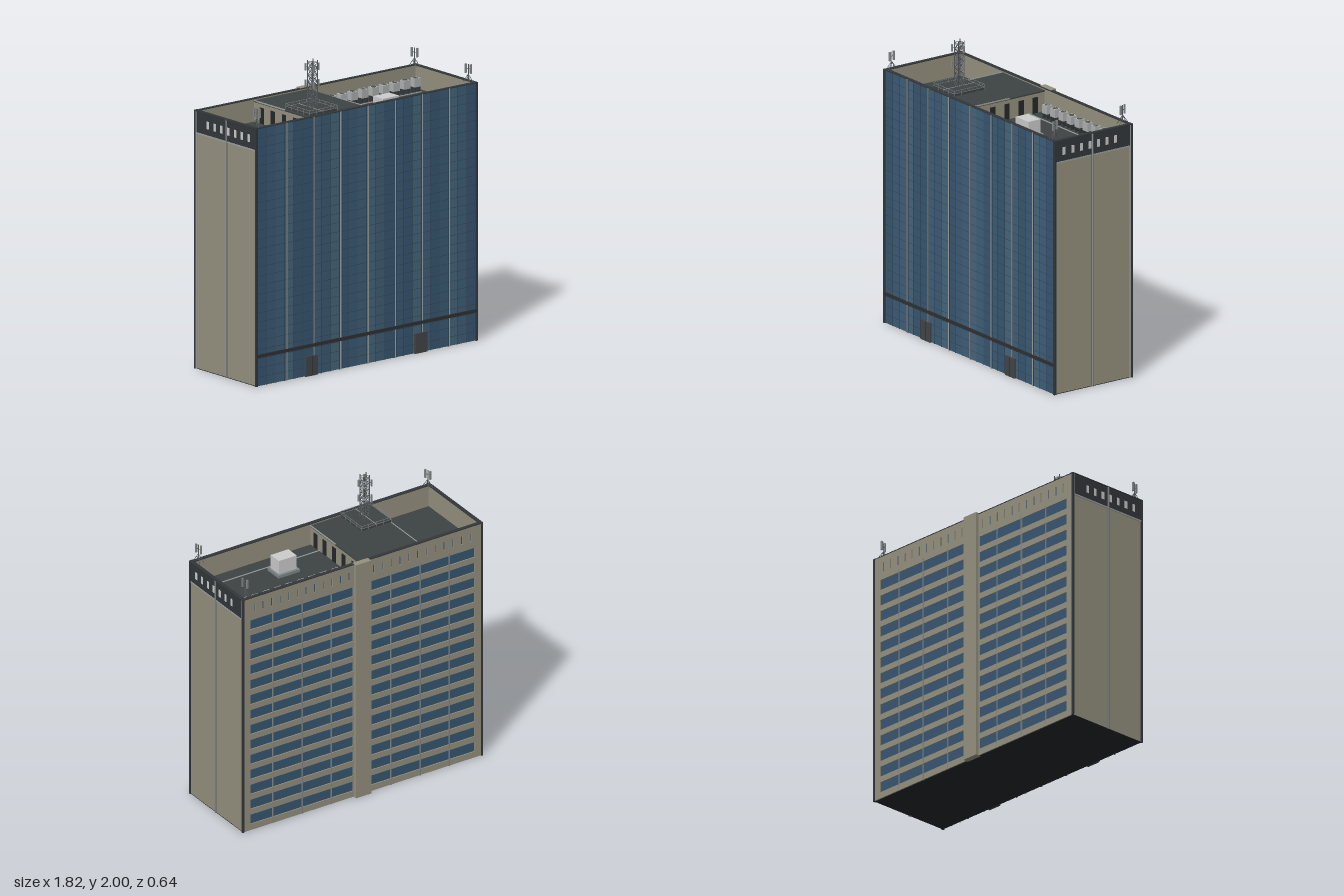
import * as THREE from 'three';

const mats = {};
const mat = (c) => (mats[c] ??= new THREE.MeshStandardMaterial({ color: c }));
const WALL = 0x95917f, DARK = 0x33373a, ROOF = 0x3d4244, STEEL = 0x9a9fa0, LIGHT = 0xbcc0bc, GLASS = 0x375671, LINE = 0x2c4152;

// Box given by its limits on each axis
function box(parent, name, color, x0, x1, y0, y1, z0, z1) {
  const m = new THREE.Mesh(new THREE.BoxGeometry(x1 - x0, y1 - y0, z1 - z0), mat(color));
  m.position.set((x0 + x1) / 2, (y0 + y1) / 2, (z0 + z1) / 2);
  m.name = name;
  parent.add(m);
  return m;
}

// Round bar between two points
function bar(parent, name, color, a, b, r = 0.002) {
  const p = new THREE.Vector3(...a), q = new THREE.Vector3(...b);
  const m = new THREE.Mesh(new THREE.CylinderGeometry(r, r, p.distanceTo(q), 6), mat(color));
  m.position.copy(p).add(q).multiplyScalar(0.5);
  m.quaternion.setFromUnitVectors(new THREE.Vector3(0, 1, 0), q.sub(p).normalize());
  m.name = name;
  parent.add(m);
}

function group(parent, name, x = 0, y = 0, z = 0) {
  const g = new THREE.Group();
  g.name = name;
  g.position.set(x, y, z);
  parent.add(g);
  return g;
}

function rectPath(P, x0, x1, y0, y1) {
  const p = new P();
  p.moveTo(x0, y0).lineTo(x1, y0).lineTo(x1, y1).lineTo(x0, y1).closePath();
  return p;
}

const TOP = 1.68, DECK = 1.53, MULLIONS = [-0.655, -0.435, -0.215, 0.01, 0.235, 0.455, 0.675];

function buildShell(root) {
  const g = group(root, 'shell');
  box(g, 'core', ROOF, -0.895, 0.895, 0.002, DECK, -0.28, 0.295);
  box(g, 'underside', 0x24262a, -0.9, 0.9, 0, 0.004, -0.29, 0.302);
  for (const s of [-1, 1]) {
    const lo = (a, b) => [Math.min(s * a, s * b), Math.max(s * a, s * b)];
    box(g, 'sideWall', WALL, ...lo(0.885, 0.9), 0.004, TOP - 0.004, -0.285, 0.3);
    box(g, 'sideBand', DARK, ...lo(0.89, 0.903), 1.54, TOP - 0.002, -0.28, 0.302);
    box(g, 'sideLedge', STEEL, ...lo(0.89, 0.905), 1.53, 1.54, -0.28, 0.302);
    for (let i = 0; i < 7; i++) {
      const z = 0.235 - i * 0.067;
      box(g, 'sideWindow', LIGHT, ...lo(0.9, 0.905), 1.58, 1.63, z - 0.011, z + 0.011);
    }
    box(g, 'sideJoint', 0x6a6c6c, ...lo(0.89, 0.906), 0, TOP, 0.009, 0.021);
    bar(g, 'sidePipe', STEEL, [s * 0.906, 0, 0.015], [s * 0.906, TOP, 0.015], 0.003);
    box(g, 'frontCornerPost', DARK, ...lo(0.893, 0.908), 0, TOP, 0.3, 0.314);
    box(g, 'backCornerPost', DARK, ...lo(0.893, 0.908), 0, TOP, -0.3, -0.287);
    box(g, 'cornerTrim', STEEL, ...lo(0.9, 0.906), 0, TOP, -0.285, -0.279);
    box(g, 'sideCoping', DARK, ...lo(0.883, 0.908), TOP - 0.004, TOP + 0.002, -0.3, 0.314);
  }
  box(g, 'frontParapet', WALL, -0.885, 0.885, DECK, TOP - 0.004, 0.288, 0.301);
  box(g, 'backParapet', WALL, -0.885, 0.885, DECK, TOP - 0.004, -0.288, -0.276);
  box(g, 'frontCoping', DARK, -0.885, 0.885, TOP - 0.004, TOP + 0.001, 0.286, 0.312);
  box(g, 'backCoping', DARK, -0.885, 0.885, TOP - 0.004, TOP + 0.001, -0.299, -0.274);
}

function buildFront(root) {
  const g = group(root, 'frontCurtainWall');
  // Glass strips in alternating blues, three to a bay
  const shades = [0x3f5f78, GLASS, 0x46667c, 0x3b5b76];
  const order = [1, 3, 0, 2, 1, 1, 0, 3, 2, 1, 3, 0, 2, 0, 1, 3, 1, 2, 0, 1, 3, 2, 0, 1];
  const w = 1.79 / 24;
  order.forEach((k, i) => {
    const x = -0.895 + i * w;
    box(g, 'glassStrip', shades[k], x, x + w, 0.002, TOP - 0.004, 0.3, 0.308);
    if (i) box(g, 'thinMullion', LINE, x - 0.001, x + 0.001, 0, TOP - 0.004, 0.305, 0.3095);
  });
  for (let i = 1; i < 28; i++) {
    box(g, 'floorLine', LINE, -0.895, 0.895, i * 0.0598 - 0.001, i * 0.0598 + 0.001, 0.305, 0.309);
  }
  for (const x of MULLIONS) {
    box(g, 'mullionBacking', LINE, x - 0.006, x + 0.006, 0, TOP - 0.003, 0.305, 0.311);
    box(g, 'mullion', STEEL, x - 0.003, x + 0.003, 0, TOP, 0.305, 0.314);
  }
  box(g, 'canopyBand', 0x2f3033, -0.905, 0.905, 0.186, 0.207, 0.3, 0.317);
  for (const x of [-0.455, 0.44]) {
    box(g, 'entranceDoor', 0x434547, x - 0.05, x + 0.05, 0, 0.13, 0.3, 0.319);
    box(g, 'doorSplit', 0x25272a, x - 0.001, x + 0.001, 0, 0.128, 0.31, 0.32);
  }
}

function buildBack(root) {
  const g = group(root, 'backFacade');
  box(g, 'backGlass', GLASS, -0.89, 0.89, 0.004, TOP - 0.01, -0.29, -0.28);
  // Wall sheet pierced by window bands and narrow top slots
  const shape = rectPath(THREE.Shape, -0.895, 0.895, 0.002, TOP - 0.004);
  for (const [a, b] of [[-0.845, -0.055], [0.07, 0.845]]) {
    for (let i = 0; i < 14; i++) {
      const y = 0.045 + i * 0.108;
      shape.holes.push(rectPath(THREE.Path, a, b, y, y + 0.068));
    }
    for (let i = 0; i < 12; i++) {
      const x = a + 0.03 + (i * (b - a - 0.06)) / 11;
      shape.holes.push(rectPath(THREE.Path, x - 0.005, x + 0.005, 1.57, 1.63));
    }
  }
  const wall = new THREE.Mesh(new THREE.ExtrudeGeometry(shape, { depth: 0.008, bevelEnabled: false }), mat(WALL));
  wall.position.z = -0.297;
  wall.name = 'backWall';
  g.add(wall);
  for (const x of MULLIONS) {
    if (x !== 0.01) box(g, 'backMullion', 0x7d8584, x - 0.003, x + 0.003, 0, 1.54, -0.299, -0.288);
  }
  box(g, 'liftShaft', WALL, -0.05, 0.065, 0, TOP + 0.004, -0.321, -0.28);
}

function buildRoof(root) {
  const g = group(root, 'roof');
  // Raised plant room with doors on both ends
  box(g, 'plantRoom', WALL, -0.435, 0.005, DECK, 1.66, -0.28, 0.29);
  box(g, 'plantRoomRoof', ROOF, -0.44, 0.01, 1.66, 1.668, -0.278, 0.288);
  box(g, 'roofTrim', STEEL, -0.44, -0.435, 1.664, 1.672, -0.278, 0.035);
  box(g, 'roofTrim', STEEL, 0.006, 0.011, 1.664, 1.672, 0, 0.288);
  for (const x of [-0.435, 0.005]) {
    for (const z of [-0.2, -0.09, 0.02, 0.13, 0.23]) {
      box(g, 'plantRoomDoor', 0x24272a, x - 0.003, x + 0.003, DECK, 1.635, z - 0.02, z + 0.02);
    }
  }
  // Row of fan units
  for (let i = 0; i < 9; i++) {
    const f = group(g, 'fanUnit', 0.135 + i * 0.086, DECK, -0.2);
    box(f, 'fanCase', 0xaeb2b0, -0.025, 0.025, 0.035, 0.09, -0.022, 0.022);
    for (const x of [-0.02, 0.02]) box(f, 'fanFoot', DARK, x - 0.003, x + 0.003, 0, 0.036, -0.02, 0.02);
    const ring = new THREE.Mesh(new THREE.TorusGeometry(0.015, 0.002, 6, 16), mat(0x55595a));
    ring.rotation.x = Math.PI / 2;
    ring.position.y = 0.091;
    ring.name = 'fanRing';
    f.add(ring);
    box(f, 'fanBlade', 0x55595a, -0.014, 0.014, 0.09, 0.092, -0.002, 0.002);
    box(f, 'fanBlade', 0x55595a, -0.002, 0.002, 0.09, 0.092, -0.014, 0.014);
  }
  for (const z of [-0.14, 0.175]) bar(g, 'roofPipe', STEEL, [0.01, 1.542, z], [0.82, 1.542, z], 0.004);
  // Air handler on a plinth with its duct
  box(g, 'airHandlerBase', 0x7f8687, 0.255, 0.415, DECK, 1.55, 0.033, 0.16);
  box(g, 'airHandler', LIGHT, 0.268, 0.402, 1.55, 1.645, 0.05, 0.145);
  box(g, 'airDuct', 0x7f8687, 0.285, 0.325, DECK, 1.575, 0.14, 0.185);
  box(g, 'ductEnd', 0x7f8687, 0.28, 0.33, DECK, 1.555, 0.185, 0.213);
}

function buildTower(root) {
  const g = group(root, 'antennaTower', -0.315, 1.668, 0.155);
  // Platform and guard rail
  box(g, 'platform', ROOF, -0.12, 0.105, 0.008, 0.022, -0.12, 0.118);
  box(g, 'platformSeam', STEEL, -0.012, -0.008, 0.02, 0.024, -0.12, 0.118);
  const c = [[-0.12, -0.12], [0.105, -0.12], [0.105, 0.118], [-0.12, 0.118]];
  c.forEach(([x, z], i) => {
    const [u, v] = c[(i + 1) % 4];
    for (const y of [0.024, 0.042]) bar(g, 'rail', 0x80868a, [x, y, z], [u, y, v], 0.0015);
    for (const t of [0, 0.25, 0.5, 0.75]) {
      const px = x + (u - x) * t, pz = z + (v - z) * t;
      bar(g, 'railPost', 0x80868a, [px, 0.008, pz], [px, 0.042, pz], 0.0015);
    }
  });
  // Four-legged lattice
  const h = 0.022, n = 7, step = 0.042, y0 = 0.022;
  const legs = [[-h, -h], [h, -h], [h, h], [-h, h]];
  legs.forEach(([x, z], i) => {
    const [u, v] = legs[(i + 1) % 4];
    bar(g, 'towerLeg', 0x565b5e, [x, y0, z], [x, 0.33, z], 0.003);
    for (let k = 0; k < n; k++) {
      const a = y0 + k * step, b = a + step;
      bar(g, 'towerRing', 0x565b5e, [x, b, z], [u, b, v], 0.0015);
      bar(g, 'towerBrace', 0x565b5e, [x, a, z], [u, b, v], 0.0015);
      bar(g, 'towerBrace', 0x565b5e, [u, a, v], [x, b, z], 0.0015);
    }
  });
  // Two tiers of panel antennas
  for (const y of [0.175, 0.282]) {
    for (let k = 0; k < 3; k++) {
      const a = (k * 2 * Math.PI) / 3, x = 0.047 * Math.cos(a), z = 0.047 * Math.sin(a);
      bar(g, 'antennaArm', 0x565b5e, [0, y, 0], [x, y, z]);
      box(g, 'panelAntenna', 0x84898a, x - 0.005, x + 0.005, y - 0.023, y + 0.023, z - 0.005, z + 0.005);
    }
  }
}

function buildCornerAntenna(root, x, z) {
  const g = group(root, 'cornerAntenna', x, TOP, z);
  bar(g, 'mast', 0x565b5e, [0, 0.01, 0], [0, 0.12, 0], 0.003);
  for (const s of [-1, 1]) {
    for (const t of [-1, 1]) bar(g, 'mastLeg', 0x565b5e, [s * 0.015, 0, t * 0.035], [0, 0.055, 0]);
    bar(g, 'antennaArm', 0x565b5e, [0, 0.09, 0], [s * 0.006, 0.09, s * 0.019]);
    box(g, 'panelAntenna', 0x84898a, s * 0.006 - 0.006, s * 0.006 + 0.006, 0.06, 0.12, s * 0.019 - 0.005, s * 0.019 + 0.005);
  }
}

export function createModel() {
  const root = new THREE.Group();
  root.name = 'officeTower';
  buildShell(root);
  buildFront(root);
  buildBack(root);
  buildRoof(root);
  buildTower(root);
  for (const [x, z] of [[-0.87, 0.275], [0.86, 0.275], [0.86, -0.255]]) buildCornerAntenna(root, x, z);
  return root;
}
